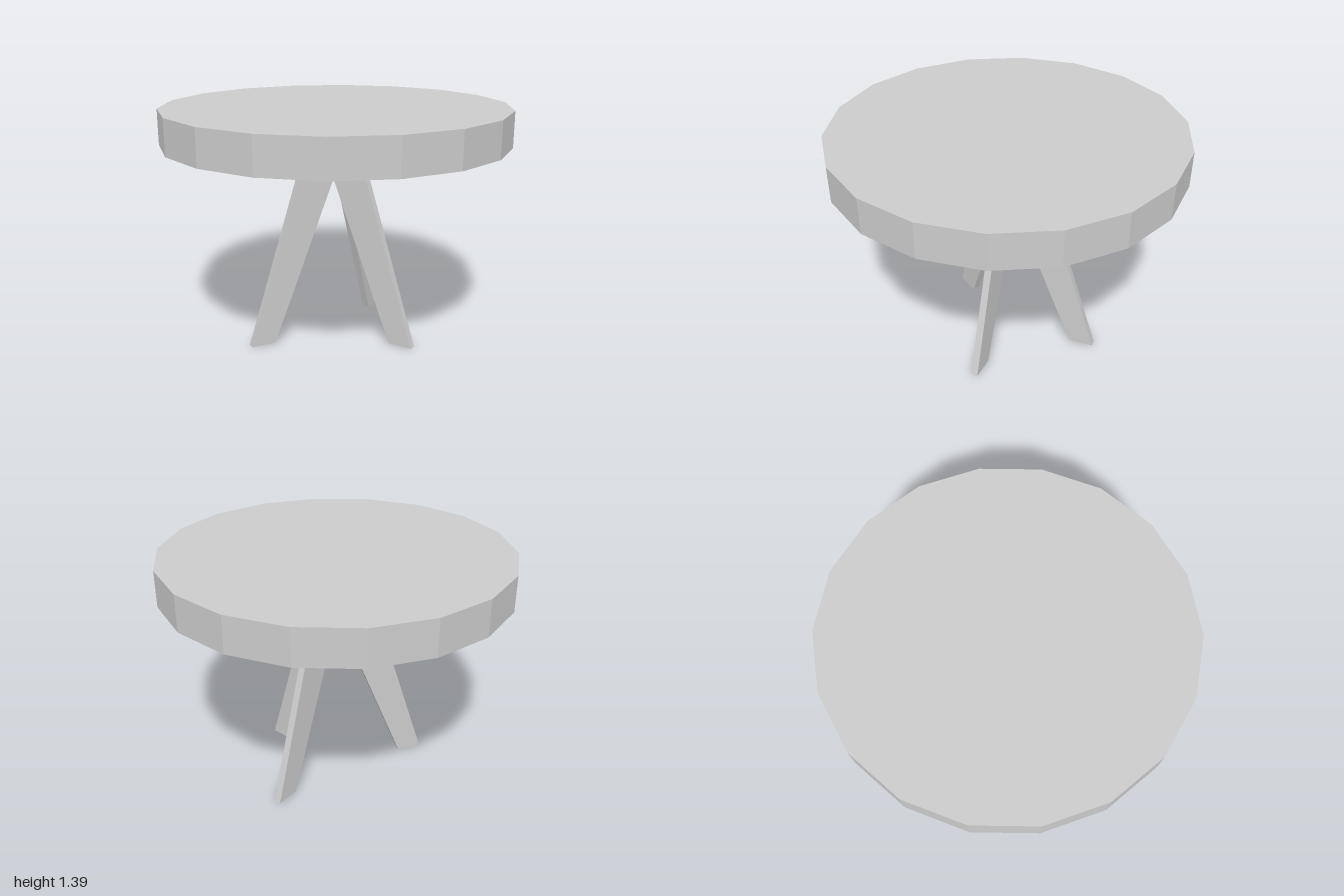
import * as THREE from 'three';

const material = new THREE.MeshStandardMaterial({ color: 0xcccccc, flatShading: true });
const UNDERSIDE = 1.185, TOP = 1.39, LEG_THICKNESS = 0.042;

// Upright slab leaning inwards, slightly wider at the top; x is the outward direction
function legGeometry() {
  const shape = new THREE.Shape([
    new THREE.Vector2(0, 0),
    new THREE.Vector2(0.147, 0),
    new THREE.Vector2(-0.235, UNDERSIDE),
    new THREE.Vector2(-0.482, UNDERSIDE),
  ]);
  return new THREE.ExtrudeGeometry(shape, { depth: LEG_THICKNESS, bevelEnabled: false });
}

export function createModel() {
  const table = new THREE.Group();
  table.name = 'table';

  // Eighteen-sided top with corners on the x axis
  const height = TOP - UNDERSIDE;
  const topGeometry = new THREE.CylinderGeometry(1, 1, height, 18, 1, false, Math.PI / 2);
  const tableTop = new THREE.Mesh(topGeometry, material);
  tableTop.name = 'tableTop';
  tableTop.position.y = UNDERSIDE + height / 2;
  table.add(tableTop);

  // Three crossing legs: turn in degrees, distance of the inner foot edge, sideways offset
  const geometry = legGeometry();
  const legs = [
    ['rightLeg', 180, 0.405, 0],
    ['frontLeftLeg', -60, 0.372, -0.046],
    ['backLeftLeg', 35, 0.423, -0.014],
  ];
  for (const [name, degrees, reach, side] of legs) {
    const leg = new THREE.Mesh(geometry, material);
    leg.name = name;
    leg.rotation.y = THREE.MathUtils.degToRad(degrees);
    leg.position.set(reach, 0, side).applyEuler(leg.rotation);
    table.add(leg);
  }
  return table;
}
